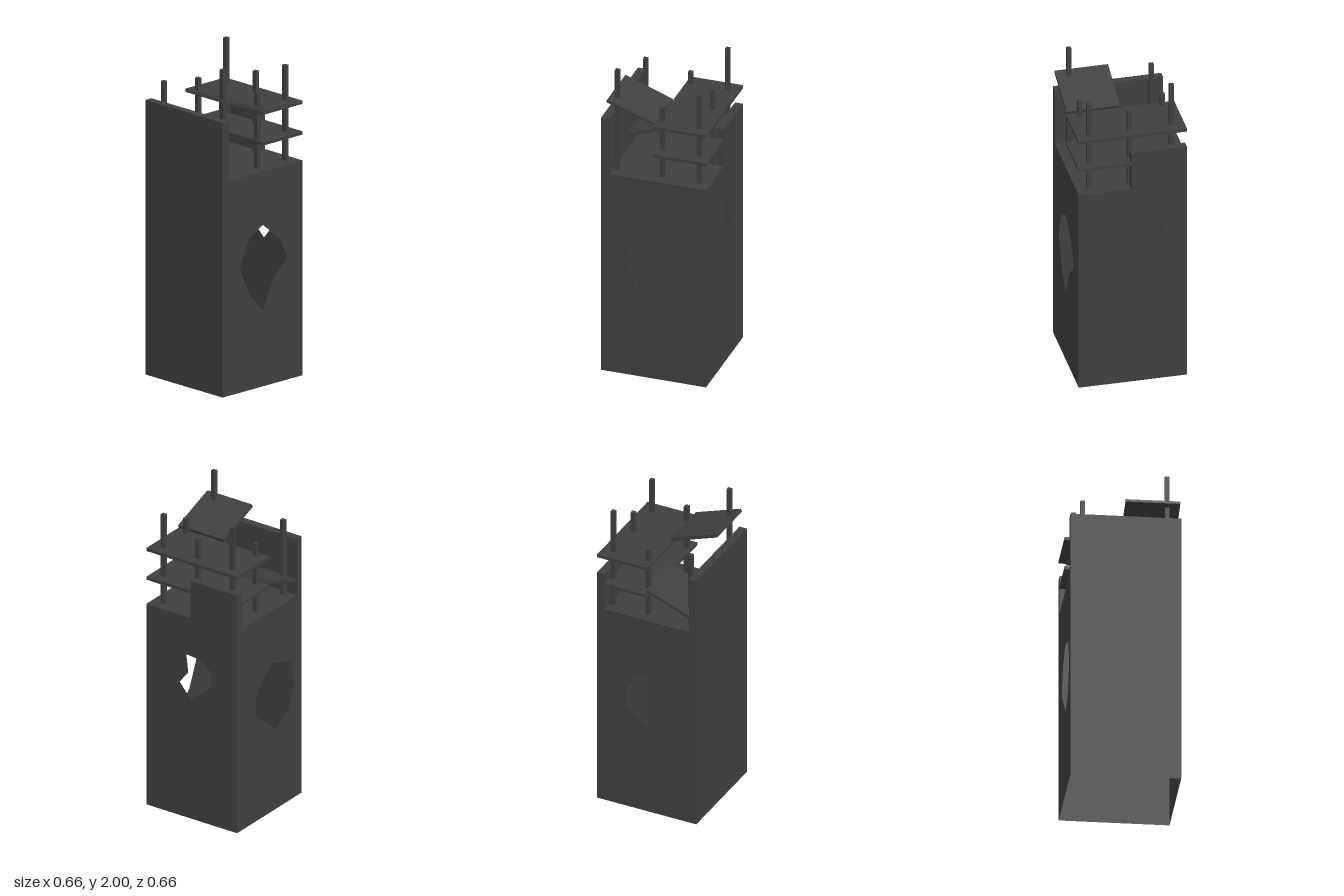
import * as THREE from 'three';

const HALF = 0.33, ROOF = 1.33, SLAB = 0.02;

export function createModel() {
  const model = new THREE.Group();
  const concrete = new THREE.MeshStandardMaterial({ color: 0x404040, side: THREE.DoubleSide });
  concrete.name = 'dark concrete';

  const add = (name, geometry, x, y, z) => {
    const mesh = new THREE.Mesh(geometry, concrete);
    mesh.name = name;
    mesh.position.set(x, y, z);
    model.add(mesh);
    return mesh;
  };

  // Box given by its lower and upper limits on each axis
  const block = (name, [x0, x1], [y0, y1], [z0, z1]) =>
    add(name, new THREE.BoxGeometry(x1 - x0, y1 - y0, z1 - z0),
      (x0 + x1) / 2, (y0 + y1) / 2, (z0 + z1) / 2);

  // Thin outer wall with an optional jagged hole; points are (across, up)
  const wall = (name, angle, hole) => {
    const shape = new THREE.Shape([
      [-HALF, 0], [HALF, 0], [HALF, ROOF], [-HALF, ROOF],
    ].map(([a, y]) => new THREE.Vector2(a, y)));
    if (hole) shape.holes.push(new THREE.Path(hole.map(([a, y]) => new THREE.Vector2(a, y))));
    const mesh = add(name, new THREE.ShapeGeometry(shape),
      HALF * Math.sin(angle), 0, HALF * Math.cos(angle));
    mesh.rotation.y = angle;
  };

  wall('frontWall', 0);
  wall('leftWall', Math.PI / 2, [
    [0, 1.0], [0.14, 0.89], [0.205, 0.76], [0.09, 0.65],
    [0, 0.47], [-0.11, 0.59], [-0.19, 0.77], [-0.11, 0.94],
  ]);
  wall('rightWall', -Math.PI / 2, [
    [0.03, 0.98], [-0.09, 0.89], [-0.14, 0.8], [-0.14, 0.71],
    [0.06, 0.53], [0.19, 0.6], [0.25, 0.75], [0.22, 0.92],
  ]);
  wall('backWall', Math.PI, [
    [-0.04, 1.08], [0.083, 1.07], [0.122, 1.02], [0.18, 1.03],
    [0.17, 0.935], [0, 0.78], [-0.087, 0.885], [-0.025, 0.965],
  ]);

  // Floor on top of the shaft
  const floor = add('topFloor', new THREE.PlaneGeometry(HALF * 2, HALF * 2), 0, ROOF, 0);
  floor.rotation.x = -Math.PI / 2;

  // Remaining upper walls
  block('frontParapet', [-HALF, HALF], [ROOF, 1.7], [0.28, HALF]);
  block('backParapet', [-HALF, 0.01], [ROOF, 1.575], [-HALF, -0.28]);

  // Two level storeys over the back half
  for (const y of [1.5, 1.69]) {
    block('levelSlab', [-HALF, HALF], [y - SLAB / 2, y + SLAB / 2], [-HALF, 0]);
  }

  // Broken slabs, one tipped up and one sagging
  const tilted = (name, x, y, z, angle) => {
    add(name, new THREE.BoxGeometry(0.325, SLAB, 0.32), x, y, z).rotation.x = angle;
  };
  tilted('raisedSlab', 0.1655, 1.765, 0.145, -0.35);
  tilted('saggingSlab', -0.1575, 1.475, 0.143, 0.35);

  // Bare columns: x, z, top height
  for (const [x, z, top] of [
    [-0.25, -0.262, 1.98], [0.005, -0.258, 1.83], [0.252, -0.262, 1.92],
    [-0.25, -0.03, 1.78], [0.252, -0.03, 1.8],
    [-0.25, 0.253, 1.82], [0.252, 0.253, 2.0],
  ]) {
    block('column', [x - 0.0135, x + 0.0135], [ROOF, top], [z - 0.0135, z + 0.0135]);
  }

  return model;
}
